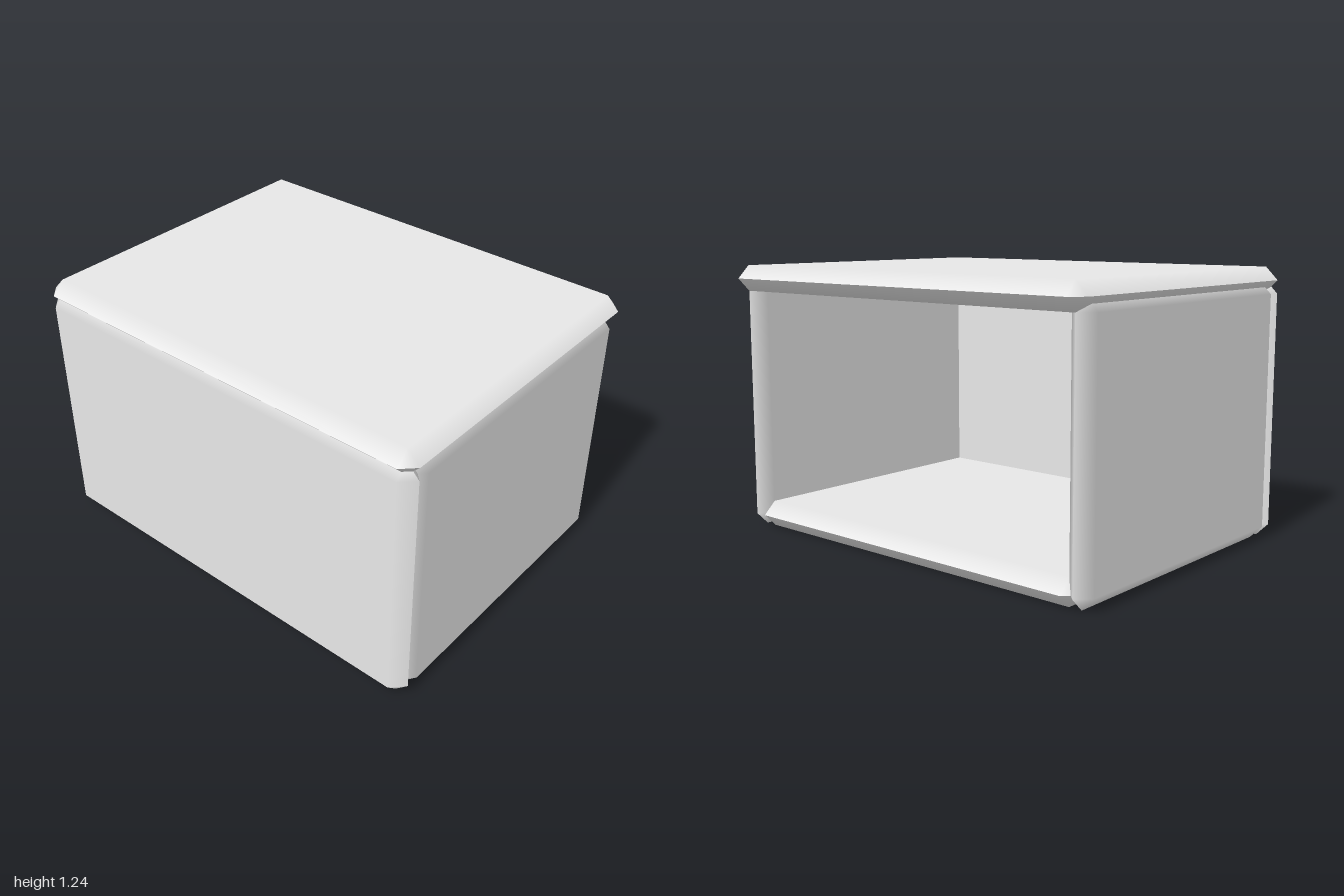
import * as THREE from 'three';

// One unit is half a panel's thickness, which is also its bevel width
const U = 1 / 17;

// Flat panel in the xz plane: bevelled from both faces to a sharp middle edge, with clipped corners
function panelGeometry(width, depth) {
  const a = width / 2, b = depth / 2;
  const positions = [], normals = [];
  const vert = (x, y, z, n) => ({ p: new THREE.Vector3(x, y, z), n: new THREE.Vector3(...n).normalize() });

  // Adds a triangle, turned so that it faces along its normals
  const tri = (p, q, r) => {
    const facing = q.p.clone().sub(p.p).cross(r.p.clone().sub(p.p));
    const wanted = p.n.clone().add(q.n).add(r.n);
    const order = facing.dot(wanted) < 0 ? [p, r, q] : [p, q, r];
    for (const v of order) {
      positions.push(...v.p.toArray());
      normals.push(...v.n.toArray());
    }
  };
  const quad = (p, q, r, s) => { tri(p, q, r); tri(p, r, s); };

  for (const s of [1, -1]) {
    const up = [0, s, 0];
    const inner = (i, k) => vert(i * (a - 1), s, k * (b - 1), up);
    const edgeX = (i, k) => vert(i * a, 0, k * (b - 1), [i, s, 0]);
    const edgeZ = (i, k) => vert(i * (a - 1), 0, k * b, [0, s, k]);

    // Flat face
    quad(inner(-1, -1), inner(1, -1), inner(1, 1), inner(-1, 1));
    for (const i of [1, -1]) {
      // Long bevels
      quad(inner(i, -1), inner(i, 1), edgeX(i, 1), edgeX(i, -1));
      quad(inner(-1, i), inner(1, i), edgeZ(1, i), edgeZ(-1, i));
      // Clipped corners
      for (const k of [1, -1]) tri(inner(i, k), edgeX(i, k), edgeZ(i, k));
    }
  }

  const geometry = new THREE.BufferGeometry();
  geometry.setAttribute('position', new THREE.Float32BufferAttribute(positions, 3));
  geometry.setAttribute('normal', new THREE.Float32BufferAttribute(normals, 3));
  return geometry;
}

export function createModel() {
  const group = new THREE.Group();
  group.name = 'openBackedCabinet';
  const lightGrey = new THREE.MeshStandardMaterial({ color: 0xe7e7e7 });
  lightGrey.name = 'lightGrey';

  const addPanel = (name, width, depth, position, rotation = [0, 0, 0]) => {
    const mesh = new THREE.Mesh(panelGeometry(width, depth), lightGrey);
    mesh.name = name;
    mesh.scale.setScalar(U);
    mesh.position.set(...position).multiplyScalar(U);
    mesh.rotation.set(...rotation);
    group.add(mesh);
  };

  // Lid and floor
  addPanel('topPanel', 34, 26, [0, 20, 0]);
  addPanel('bottomPanel', 32, 24, [0, 1, 0]);
  // Upright panels; the back stays open
  addPanel('frontPanel', 34, 20, [0, 10, 12], [Math.PI / 2, 0, 0]);
  addPanel('leftPanel', 20, 24, [16, 10, 0], [0, 0, Math.PI / 2]);
  addPanel('rightPanel', 20, 24, [-16, 10, 0], [0, 0, Math.PI / 2]);

  return group;
}
